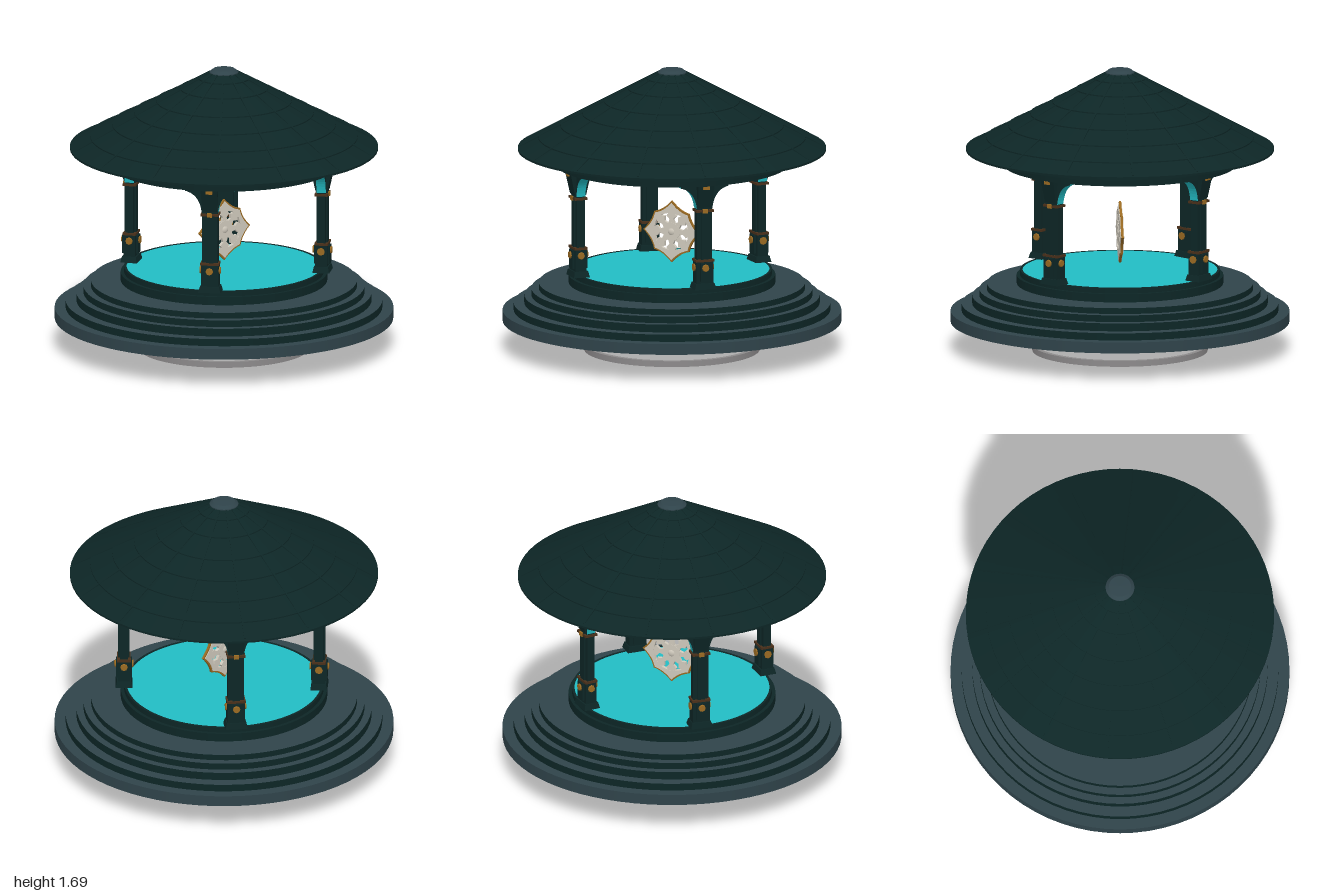
import * as THREE from 'three';
import { mergeGeometries } from 'three/addons/utils/BufferGeometryUtils.js';

function mat(name, color, side = THREE.FrontSide) {
  const m = new THREE.MeshStandardMaterial({ color, side });
  m.name = name;
  return m;
}

export function createModel() {
  const dark = mat('dark teal wood', 0x0d2626);
  const slate = mat('slate', 0x2f434a);
  const cyan = mat('cyan glow', 0x22bcc4, THREE.DoubleSide);
  const gold = mat('gold', 0x9a6a22);
  const brown = mat('bronze brown', 0x4a301a);
  const cream = mat('ivory', 0xd0cabd);
  const grey = mat('grey stone', 0x8c8a8b);

  const root = new THREE.Group();
  root.name = 'pavilion';
  const add = (name, geo, material, parent = root, x = 0, y = 0, z = 0) => {
    const m = new THREE.Mesh(geo, material);
    m.name = name;
    m.position.set(x, y, z);
    parent.add(m);
    return m;
  };
  let seed = 7;
  const rnd = () => (seed = (seed * 16807) % 2147483647) / 2147483647;

  // Revolved bands with hard edges; each band is [r0, y0, r1, y1]
  const bands = (list) => mergeGeometries(list.map(([a, b, c, d]) =>
    new THREE.LatheGeometry([new THREE.Vector2(a, b), new THREE.Vector2(c, d)], 72)));
  const chain = (pts) => bands(pts.slice(1).map((p, i) => [...pts[i], ...p]));

  // Stepped base: slate treads and outer course, dark risers
  const steps = [[1, 0.175, 0.24], [0.935, 0.24, 0.283], [0.872, 0.283, 0.33],
    [0.83, 0.33, 0.37], [0.786, 0.37, 0.405], [0.61, 0.405, 0.455], [0.59, 0.455, 0.487]];
  const risers = steps.map(([r, y0, y1]) => [r, y0, r, y1]);
  const treads = steps.slice(0, -1).map(([r, , y], i) => [r, y, steps[i + 1][0], y]);
  add('baseCourse', bands([risers[0], ...treads.slice(0, 5)]), slate);
  add('stepRisers', bands([...risers.slice(1), treads[5], [0.59, 0.487, 0.575, 0.487]]), dark);
  // Hollow underside of the base
  add('baseLining', chain([[0.58, 0.385], [0.77, 0.375], [0.8, 0.34], [0.84, 0.31],
    [0.9, 0.26], [0.95, 0.22], [0.96, 0.175], [1, 0.175]]), slate);
  add('floorCollar', chain([[0.575, 0.487], [0.58, 0.385]]), dark);
  add('floor', new THREE.CircleGeometry(0.58, 72).rotateX(-Math.PI / 2), cyan, root, 0, 0.485, 0);

  // Loose ring under the base
  add('groundRing', chain([[0.49, 0], [0.518, 0], [0.518, 0.035], [0.49, 0.035], [0.49, 0]]), grey);

  // Roof: overlapping tile courses
  const rows = [0.91, 0.79, 0.66, 0.53, 0.4, 0.26, 0.15, 0.075];
  const slopeY = (r) => 1.212 + (0.91 - r) * 0.552;
  const profile = [[0.91, 1.205]];
  rows.slice(0, -1).forEach((r, i) => {
    const next = rows[i + 1];
    profile.push([r, slopeY(r) + 0.005], [next, slopeY(next) - 0.002]);
  });
  add('roofTiles', chain(profile), dark);
  add('roofCap', chain([[0.085, 1.655], [0.085, 1.672], [0.065, 1.688], [0, 1.692]]), slate);

  // Radial seams of the tiles
  for (let i = 0; i < 14; i++) {
    const seam = new THREE.BoxGeometry(0.92, 0.008, 0.01);
    seam.rotateZ(-Math.atan(0.552)).translate(0.49, slopeY(0.49) + 0.001, 0);
    add('roofSeam', seam, dark).rotation.y = (i / 14) * Math.PI * 2;
  }

  // Eave underside, beam ring and ceiling
  add('eaveUnderside', bands([[0.7, 1.205, 0.91, 1.205]]), dark);
  add('beamRing', chain([[0.57, 1.15], [0.58, 1.118], [0.688, 1.118], [0.69, 1.155],
    [0.708, 1.155], [0.708, 1.207]]), dark);
  add('ceiling', bands([[0, 1.148, 0.58, 1.148]]), slate);
  const star = new THREE.Shape();
  for (let i = 0; i < 48; i++) {
    const r = i % 2 ? 0.15 + rnd() * 0.08 : 0.22 + rnd() * 0.2;
    const a = (i / 48) * Math.PI * 2;
    star[i ? 'lineTo' : 'moveTo'](r * Math.cos(a), r * Math.sin(a));
  }
  add('ceilingStar', new THREE.ShapeGeometry(star).rotateX(Math.PI / 2), dark, root, 0, 1.144, 0);
  for (let i = 0; i < 64; i++) {
    const len = 0.03 + rnd() * 0.08;
    const streak = new THREE.BoxGeometry(len, 0.004, 0.008 + rnd() * 0.012);
    streak.translate(0.89 - len / 2 - rnd() * 0.05, 1.204, 0);
    add('eaveStreak', streak, slate).rotation.y = ((i + rnd()) / 64) * Math.PI * 2;
  }

  // Box whose top is scaled, for flared blocks
  const flare = (w, h, d, sx, sz) => {
    const g = new THREE.BoxGeometry(w, h, d);
    const p = g.attributes.position;
    for (let i = 0; i < p.count; i++) {
      if (p.getY(i) > 0) p.setXYZ(i, p.getX(i) * sx, p.getY(i), p.getZ(i) * sz);
    }
    g.computeVertexNormals();
    return g;
  };

  // Curved bracket, dark faces with glowing undersides
  const wing = new THREE.Shape();
  wing.moveTo(-0.048, 0.97);
  wing.lineTo(0.048, 0.97);
  wing.quadraticCurveTo(0.06, 1.08, 0.148, 1.1);
  wing.lineTo(0.148, 1.125);
  wing.lineTo(-0.148, 1.125);
  wing.lineTo(-0.148, 1.1);
  wing.quadraticCurveTo(-0.06, 1.08, -0.048, 0.97);
  const wingGeo = new THREE.ExtrudeGeometry(wing, { depth: 0.056, bevelEnabled: false, curveSegments: 10 });
  wingGeo.translate(0, 0, -0.028);

  const stud = new THREE.CylinderGeometry(0.02, 0.024, 0.014, 8).rotateX(Math.PI / 2);
  const box = (w, h, d) => new THREE.BoxGeometry(w, h, d);

  // Four pillars facing outward
  for (const [x, z] of [[0.41, 0.425], [-0.41, 0.425], [0.36, -0.435], [-0.36, -0.435]]) {
    const p = new THREE.Group();
    p.name = 'pillar';
    p.position.set(x, 0, z);
    p.rotation.y = Math.atan2(x, z);
    root.add(p);
    add('plinth', flare(0.135, 0.035, 0.1, 0.85, 0.85), dark, p, 0, 0.503, 0);
    add('foot', box(0.105, 0.14, 0.07), dark, p, 0, 0.58, 0);
    add('footBlock', box(0.06, 0.11, 0.095), dark, p, 0, 0.59, 0);
    add('footTrim', box(0.112, 0.014, 0.08), brown, p, 0, 0.657, 0);
    add('shaft', box(0.094, 0.34, 0.048), dark, p, 0, 0.81, 0);
    add('shaftRib', box(0.045, 0.34, 0.068), dark, p, 0, 0.81, 0);
    add('neckTrim', box(0.108, 0.014, 0.078), brown, p, 0, 0.957, 0);
    add('bracket', wingGeo, [dark, cyan], p);
    add('capital', flare(0.085, 0.145, 0.07, 1.2, 1.9), dark, p, 0, 1.05, 0);
    // Gold studs on the foot and capital
    for (const s of [1, -1]) {
      add('footStud', stud, gold, p, 0, 0.615, s * 0.05);
      const side = add('sideStud', stud, gold, p, s * 0.055, 0.615, 0);
      side.rotation.y = Math.PI / 2;
      add('capitalStud', box(0.04, 0.018, 0.012), gold, p, 0, 1.1, s * 0.064);
    }
    add('neckStud', box(0.03, 0.025, 0.01), gold, p, 0, 0.957, 0.04);
  }

  // Hanging openwork medallion
  const medal = new THREE.Group();
  medal.name = 'medallion';
  medal.position.y = 0.71;
  root.add(medal);
  const outline = (target, scale) => {
    for (let i = 0; i <= 8; i++) {
      const a = (i / 8) * Math.PI * 2;
      const r = (i % 2 ? 0.155 : 0.178) * scale;
      if (i === 0) target.moveTo(r, 0);
      else {
        const m = a - Math.PI / 8;
        target.quadraticCurveTo(0.132 * scale * Math.cos(m), 0.132 * scale * Math.sin(m),
          r * Math.cos(a), r * Math.sin(a));
      }
    }
    return target;
  };
  const plate = (shape, depth) => new THREE.ExtrudeGeometry(shape,
    { depth, bevelEnabled: false, curveSegments: 6 }).translate(0, 0, -depth / 2);
  const frame = (outer, inner) => {
    const s = outline(new THREE.Shape(), outer);
    s.holes.push(new THREE.Path().absarc(0, 0, inner, 0, Math.PI * 2, true));
    return s;
  };
  add('medallionRim', plate(frame(1.04, 0.13), 0.014), gold, medal);
  add('medallionFrame', plate(frame(0.97, 0.116), 0.022), cream, medal);
  const spoke = new THREE.Shape();
  [[0, 0.02], [0.02, 0.05], [0.012, 0.075], [0.032, 0.095], [0.01, 0.128],
    [-0.01, 0.128], [-0.032, 0.095], [-0.012, 0.075], [-0.02, 0.05]]
    .forEach(([x, y], i) => spoke[i ? 'lineTo' : 'moveTo'](x, y));
  for (let i = 0; i < 8; i++) {
    add('medallionSpoke', plate(spoke, 0.02), cream, medal).rotation.z = (i * Math.PI) / 4;
  }
  add('medallionHub', new THREE.CylinderGeometry(0.055, 0.055, 0.024, 16).rotateX(Math.PI / 2), cream, medal);
  add('medallionBoss', new THREE.SphereGeometry(0.028, 16, 10).scale(1, 1, 0.65), cream, medal);

  return root;
}
